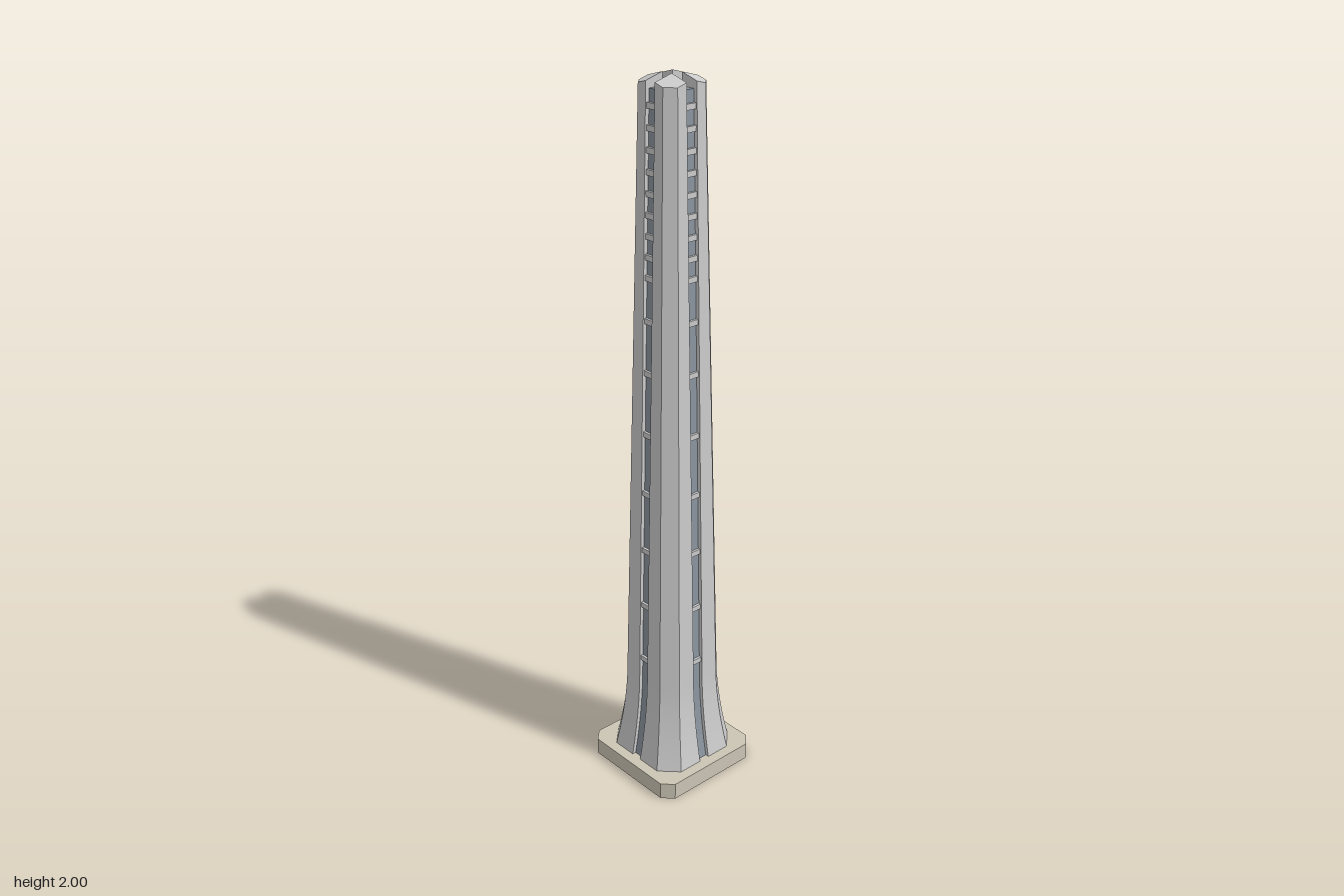
import * as THREE from 'three';
import { toCreasedNormals } from 'three/addons/utils/BufferGeometryUtils.js';

const SLOT = 0.0165; // half width of the window slots

// Half width of the tower at height y: flared foot, then a straight taper
function halfWidth(y) {
  const flare = Math.max(0, (0.3 - y) / 0.25);
  return 0.07 + 0.04 * (1.98 - y) / 1.68 + 0.024 * Math.pow(flare, 1.8);
}

// Heights of the cross-sections: close together in the flare
const levels = top => [0.05, 0.075, 0.1, 0.125, 0.15, 0.175, 0.2, 0.225, 0.25, 0.275, 0.3, 1, top];

// Solid through convex rings of [x, y, z] corners running from +x towards +z
function loft(rings) {
  const pos = [];
  const tri = (a, b, c) => pos.push(...a, ...b, ...c);
  const n = rings[0].length;
  for (let r = 0; r < rings.length - 1; r++) {
    const lo = rings[r], hi = rings[r + 1];
    for (let i = 0; i < n; i++) {
      const j = (i + 1) % n;
      tri(lo[i], hi[i], hi[j]);
      tri(lo[i], hi[j], lo[j]);
    }
  }
  const bottom = rings[0], top = rings[rings.length - 1];
  for (let i = 1; i < n - 1; i++) {
    tri(bottom[0], bottom[i], bottom[i + 1]);
    tri(top[0], top[i + 1], top[i]);
  }
  const geo = new THREE.BufferGeometry();
  geo.setAttribute('position', new THREE.Float32BufferAttribute(pos, 3));
  return toCreasedNormals(geo, 0.4);
}

// Corner lobe with a chamfered outer corner and a roof falling outwards
function lobeGeometry() {
  const ys = levels(2);
  return loft(ys.map((y, k) => {
    const h = halfWidth(Math.min(y, 1.98)), c = h * 0.645;
    const outline = [[SLOT, SLOT], [h, SLOT], [h, c], [c, h], [SLOT, h]];
    return outline.map(([x, z]) => {
      const drop = k === ys.length - 1 ? 0.28 * (x + z - 2 * SLOT) : 0;
      return [x, y - drop, z];
    });
  }));
}

// Tapered glass slab filling two opposite slots
function glassGeometry() {
  return loft(levels(1.966).map(y => {
    const h = halfWidth(y) - 0.011;
    return [[-h, y, -SLOT], [h, y, -SLOT], [h, y, SLOT], [-h, y, SLOT]];
  }));
}

// Square plinth with cut corners
function plinthGeometry() {
  const h = 0.1705, c = 0.141;
  const outline = [[-c, -h], [c, -h], [h, -c], [h, c], [c, h], [-c, h], [-h, c], [-h, -c]];
  return loft([0, 0.05].map(y => outline.map(([x, z]) => [x, y, z])));
}

export function createModel() {
  const stone = new THREE.MeshStandardMaterial({ color: 0xcccccc });
  const glass = new THREE.MeshStandardMaterial({ color: 0x8a949e });
  const paving = new THREE.MeshStandardMaterial({ color: 0xcbc5b5 });

  const model = new THREE.Group();
  model.name = 'tower';
  const add = (name, geo, mat, turn = 0, y = 0) => {
    const mesh = new THREE.Mesh(geo, mat);
    mesh.name = name;
    mesh.rotation.y = turn * Math.PI / 2;
    mesh.position.y = y;
    model.add(mesh);
  };

  add('plinth', plinthGeometry(), paving);

  // Four corner lobes
  const lobe = lobeGeometry();
  for (let i = 0; i < 4; i++) add('cornerLobe', lobe, stone, i);

  // Crossed glass core
  const core = glassGeometry();
  for (let i = 0; i < 2; i++) add('glassCore', core, glass, i);

  // Floor bands: tall windows below, short ones near the top
  const bands = [];
  for (let i = 0; i < 6; i++) bands.push(0.37 + 0.1735 * i);
  bands.push(1.38);
  for (let i = 0; i < 9; i++) bands.push(1.495 + 0.0539 * i);
  for (const y of bands) {
    const band = new THREE.BoxGeometry(2 * (halfWidth(y) - 0.004), 0.015, 2 * SLOT);
    for (let i = 0; i < 2; i++) add('floorBand', band, stone, i, y);
  }

  // The whole tower stands turned on its site
  model.rotation.y = THREE.MathUtils.degToRad(35);
  const group = new THREE.Group();
  group.name = 'skyscraper';
  group.add(model);
  return group;
}
